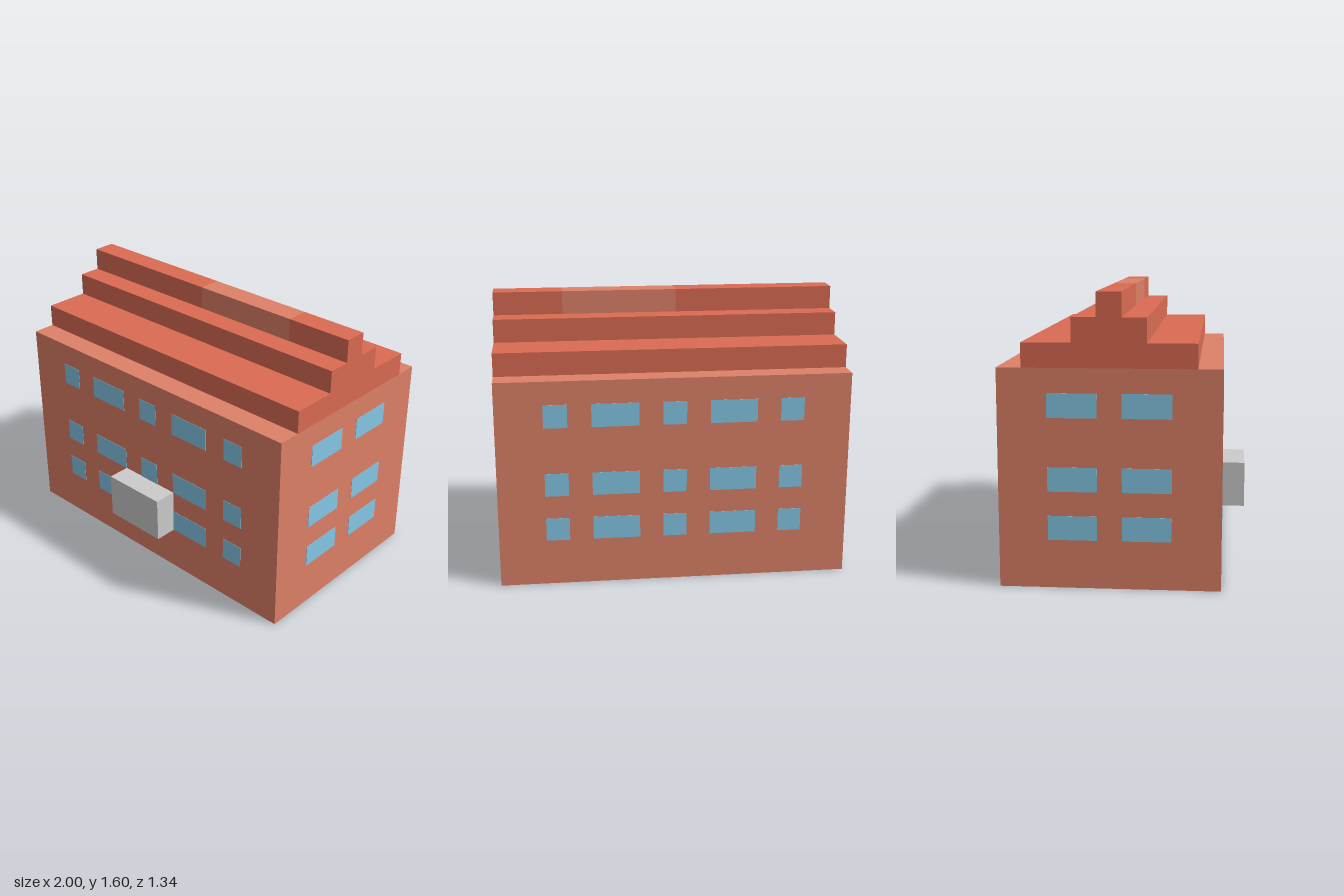
import * as THREE from 'three';

const U = 1 / 15; // building module: all sizes below are in whole modules

const mat = (color) => new THREE.MeshStandardMaterial({ color });

export function createModel() {
  const model = new THREE.Group();
  model.name = 'building';
  const wall = mat(0xdf8168);
  const roof = mat(0xda6b53);
  const glass = mat(0x86c9e8);
  const wood = mat(0x966547);
  const grey = mat(0xcccccc);

  // Box given by its extents in modules
  function block(name, material, [x0, x1], [y0, y1], [z0, z1], parent = model) {
    const mesh = new THREE.Mesh(
      new THREE.BoxGeometry((x1 - x0) * U, (y1 - y0) * U, (z1 - z0) * U), material);
    mesh.position.set((x0 + x1) / 2 * U, (y0 + y1) / 2 * U, (z0 + z1) / 2 * U);
    mesh.name = name;
    parent.add(mesh);
    return mesh;
  }

  // Main walls
  block('walls', wall, [-15, 15], [0, 18], [-10, 8]);

  // Stepped roof, with a lighter section in the ridge
  block('lowerRoofStep', roof, [-15, 15], [18, 20], [-8, 6]);
  block('middleRoofStep', roof, [-15, 15], [20, 22], [-4, 2]);
  block('ridgeRight', roof, [-15, -1], [22, 24], [-2, 0]);
  block('ridgeLightSection', wall, [-1, 9], [22, 24], [-2, 0]);
  block('ridgeLeft', roof, [9, 15], [22, 24], [-2, 0]);

  // Windows: three floors on all four sides, set almost flush with the walls
  const windows = new THREE.Group();
  windows.name = 'windows';
  model.add(windows);
  const d = 0.03;
  const floors = [[4, 6], [8, 10], [14, 16]];
  const longSide = [[-11, -9], [-7, -3], [-1, 1], [3, 7], [9, 11]];
  const shortSide = [[-6, -2], [0, 4]];
  for (const y of floors) {
    for (const x of longSide) {
      block('frontWindow', glass, x, y, [8 - d, 8 + d], windows);
      block('backWindow', glass, x, y, [-10 - d, -10 + d], windows);
    }
    for (const z of shortSide) {
      block('leftWindow', glass, [15 - d, 15 + d], y, z, windows);
      block('rightWindow', glass, [-15 - d, -15 + d], y, z, windows);
    }
  }

  // Entrance
  block('door', wood, [-1, 1], [2, 4], [8 - d, 8 + d]);
  block('canopy', grey, [-3, 3], [4, 8], [8, 10]);

  return model;
}
